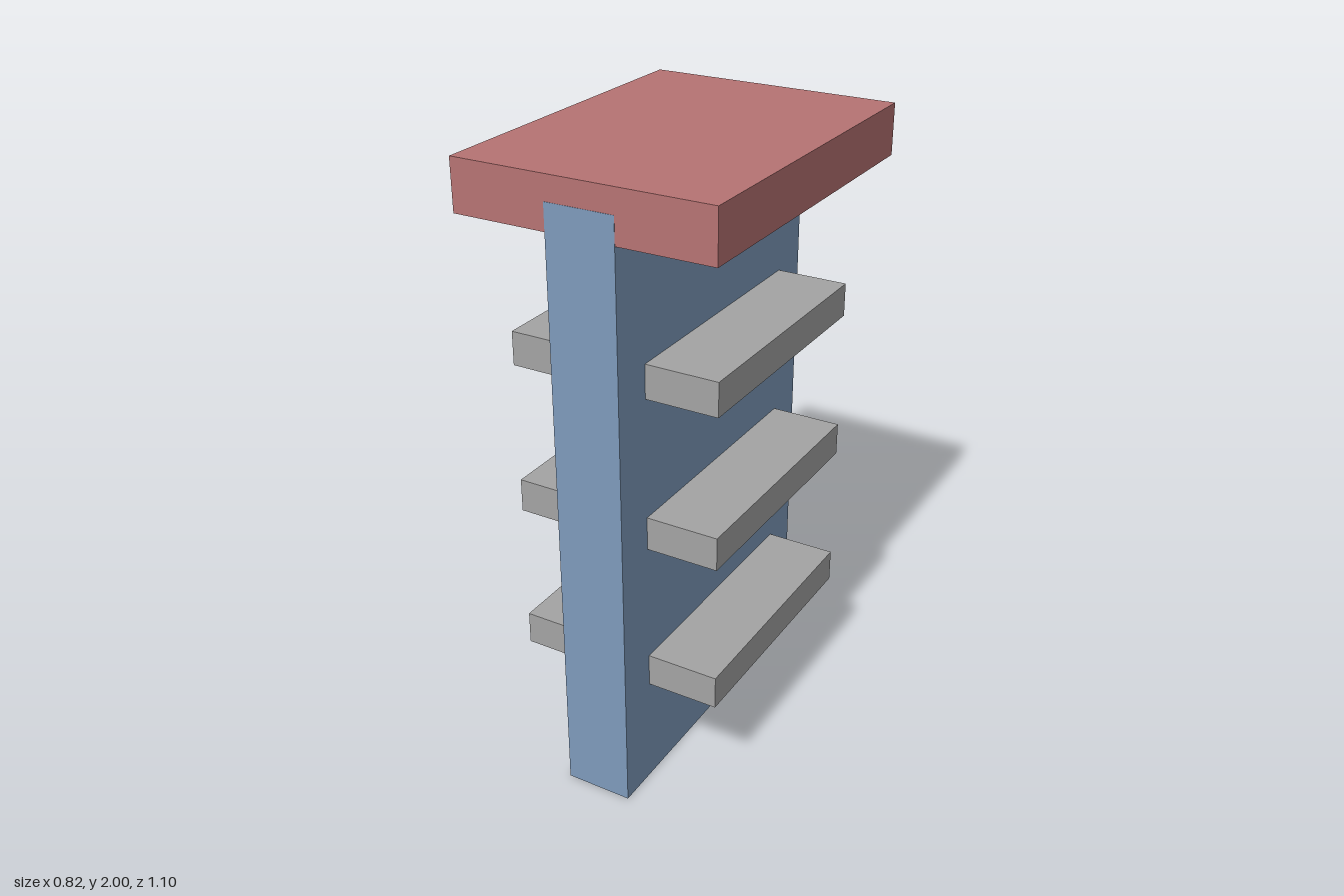
import * as THREE from 'three';

const blue = new THREE.MeshStandardMaterial({ name: 'dusty blue', color: 0x7f9cbd });
const red = new THREE.MeshStandardMaterial({ name: 'dusty red', color: 0xb87474 });
const grey = new THREE.MeshStandardMaterial({ name: 'grey', color: 0xa5a5a5 });

// Box standing on height y, centred on x and z
function slab(name, width, height, depth, y, material) {
  const mesh = new THREE.Mesh(new THREE.BoxGeometry(width, height, depth), material);
  mesh.name = name;
  mesh.position.y = y + height / 2;
  return mesh;
}

export function createModel() {
  const model = new THREE.Group();
  model.name = 'shelfStand';

  // Upright panel, a hair deeper than the top so its ends show in front of it
  model.add(slab('uprightPanel', 0.218, 1.924, 1.097, 0, blue));

  // Top board
  model.add(slab('topBoard', 0.82, 0.16, 1.095, 1.84, red));

  // Three shelves running through the panel and sticking out on both sides
  for (let i = 0; i < 3; i++) {
    model.add(slab('shelf' + (i + 1), 0.684, 0.108, 0.82, 0.358 + i * 0.494, grey));
  }
  return model;
}
